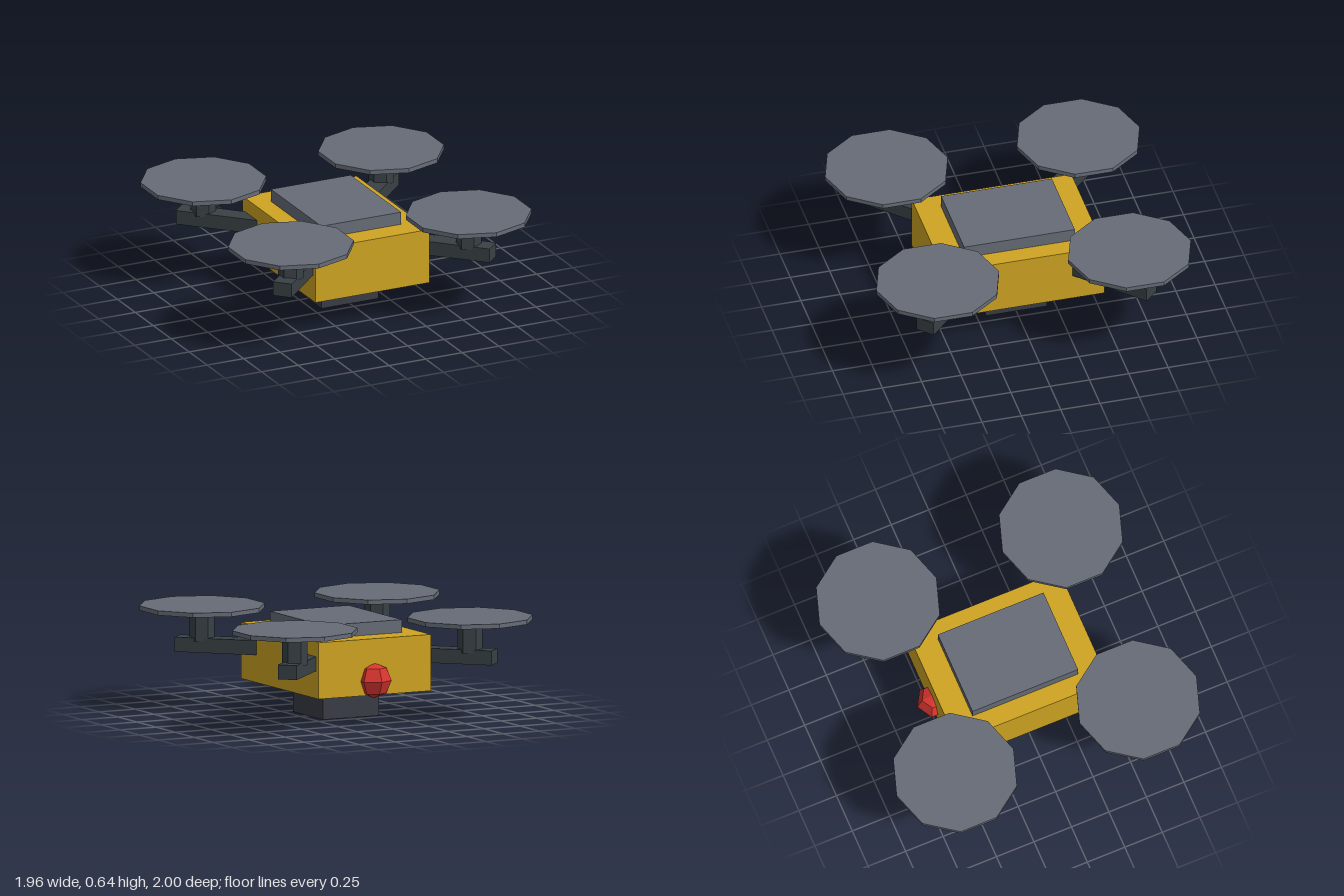
import * as THREE from 'three';

const mat = (name, color) => {
  const m = new THREE.MeshStandardMaterial({ color, flatShading: true });
  m.name = name;
  return m;
};

export function createModel() {
  const yellow = mat('body yellow', 0xd0a522);
  const grey = mat('rotor grey', 0x666c77);
  const charcoal = mat('pod charcoal', 0x393d45);
  const slate = mat('arm slate', 0x394145);
  const red = mat('lamp red', 0xd8352f);

  const drone = new THREE.Group();
  drone.name = 'drone';
  const add = (parent, name, geometry, material, x, y, z) => {
    const mesh = new THREE.Mesh(geometry, material);
    mesh.name = name;
    mesh.position.set(x, y, z);
    parent.add(mesh);
    return mesh;
  };

  // Hull with a raised lid and an underslung pod
  add(drone, 'body', new THREE.BoxGeometry(0.78, 0.35, 1.015), yellow, 0, 0.355, 0);
  add(drone, 'topPlate', new THREE.BoxGeometry(0.546, 0.08, 0.704), grey, 0, 0.57, 0);
  add(drone, 'bellyPod', new THREE.BoxGeometry(0.39, 0.18, 0.39), charcoal, 0, 0.09, 0);

  // Faceted tail lamp
  const lamp = new THREE.SphereGeometry(0.111, 6, 4).rotateY(Math.PI / 6);
  add(drone, 'tailLamp', lamp, red, 0, 0.27, -0.494);

  // Four diagonal arms, each with a hexagonal motor and a ten-sided rotor disc
  const armGeometry = new THREE.BoxGeometry(0.12, 0.09, 0.618);
  const motorGeometry = new THREE.CylinderGeometry(0.078, 0.078, 0.165, 6);
  const rotorGeometry = new THREE.CylinderGeometry(0.39, 0.39, 0.028, 10);
  for (const sx of [-1, 1]) {
    for (const sz of [-1, 1]) {
      const unit = new THREE.Group();
      unit.name = (sz > 0 ? 'front' : 'back') + (sx > 0 ? 'Left' : 'Right') + 'RotorUnit';
      const d = 0.709 / Math.SQRT2;
      const arm = add(unit, 'arm', armGeometry, slate, sx * d, 0.395, sz * d);
      arm.rotation.y = Math.atan2(sx, sz);
      add(unit, 'motor', motorGeometry, slate, sx * 0.608, 0.5025, sz * 0.61);
      add(unit, 'rotor', rotorGeometry, grey, sx * 0.608, 0.628, sz * 0.61);
      drone.add(unit);
    }
  }
  return drone;
}
